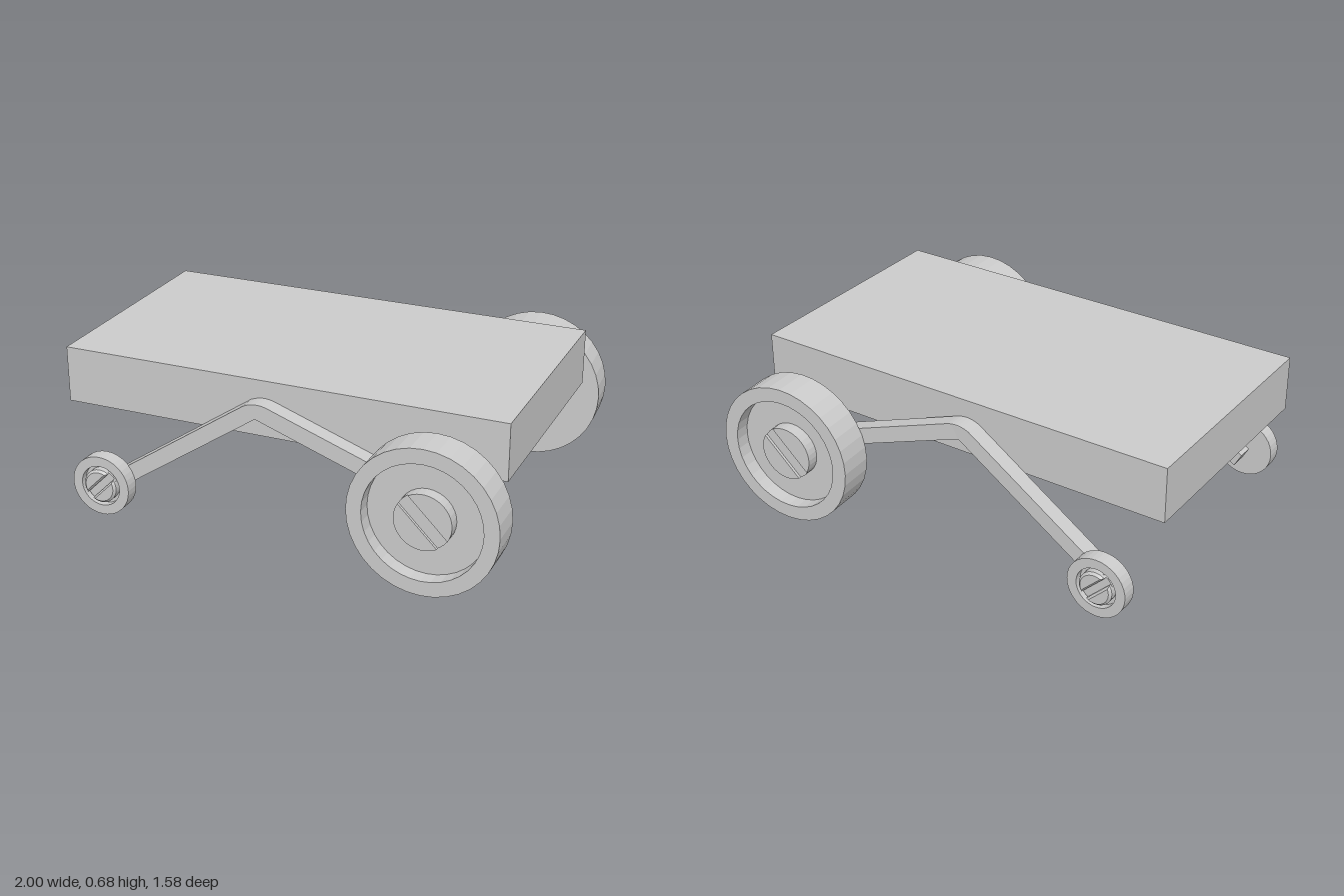
import * as THREE from 'three';

const material = new THREE.MeshStandardMaterial({ color: 0xcccccc, flatShading: true });

function addMesh(parent, geometry, name) {
  const mesh = new THREE.Mesh(geometry, material);
  mesh.name = name;
  parent.add(mesh);
  return mesh;
}

// Dished wheel with a slotted hub; inner face at z = 0, outer face towards +z
function createWheel(name, o) {
  const wheel = new THREE.Group();
  wheel.name = name;

  const profile = [
    [0, 0], [o.radius, 0], [o.radius, o.width], [o.recess, o.width],
    [o.recess, o.floor], [0, o.floor],
  ].map(([r, z]) => new THREE.Vector2(r, z));
  const rim = new THREE.LatheGeometry(profile, 36);
  rim.rotateX(Math.PI / 2);
  addMesh(wheel, rim, 'rim');

  // Hub core forms the bottom of the slot
  const hub = new THREE.Group();
  hub.name = 'hub';
  hub.rotation.z = o.slotAngle;
  wheel.add(hub);
  const coreHeight = o.hubTop - o.slotDepth - o.floor;
  const core = new THREE.CylinderGeometry(o.hub, o.hub, coreHeight, 32);
  core.rotateX(Math.PI / 2).translate(0, 0, o.floor + coreHeight / 2);
  addMesh(hub, core, 'hubCore');

  // Two raised segments on either side of the slot
  const r = o.hub - o.bevel;
  const a = Math.asin((o.slot + o.bevel) / r);
  for (const turn of [0, Math.PI]) {
    const shape = new THREE.Shape();
    shape.absarc(0, 0, r, a, Math.PI - a, false);
    shape.closePath();
    const half = new THREE.ExtrudeGeometry(shape, {
      depth: o.slotDepth - o.bevel, curveSegments: 16,
      bevelEnabled: o.bevel > 0, bevelSize: o.bevel, bevelThickness: o.bevel, bevelSegments: 1,
    });
    half.translate(0, 0, o.hubTop - o.slotDepth).rotateZ(turn);
    addMesh(hub, half, 'hubSegment');
  }
  return wheel;
}

// Bent arm; its rear section can splay sideways from the bend
function createArm(name, z, splay) {
  const shape = new THREE.Shape();
  shape.moveTo(-0.782, 0.078);
  shape.lineTo(-0.09, 0.545);
  shape.lineTo(0.7, 0.267);
  shape.lineTo(0.72, 0.335);
  shape.lineTo(-0.04, 0.603);
  shape.quadraticCurveTo(-0.09, 0.618, -0.14, 0.595);
  shape.lineTo(-0.815, 0.138);
  shape.closePath();
  const geometry = new THREE.ExtrudeGeometry(shape, { depth: 0.073, bevelEnabled: false, curveSegments: 6 });
  geometry.translate(0, 0, z);
  const p = geometry.attributes.position;
  for (let i = 0; i < p.count; i++) {
    p.setZ(i, p.getZ(i) - splay * Math.max(0, p.getX(i) + 0.09));
  }
  geometry.computeVertexNormals();
  const arm = new THREE.Mesh(geometry, material);
  arm.name = name;
  return arm;
}

export function createModel() {
  const model = new THREE.Group();
  model.name = 'cart';

  // Slab body
  const body = addMesh(model, new THREE.BoxGeometry(1.95, 0.245, 1.05), 'body');
  body.position.set(-0.025, 0.5625, 0.03);

  // Suspension arms
  model.add(createArm('frontArm', 0.555, 0));
  model.add(createArm('backArm', -0.57, 0.06));

  const large = {
    radius: 0.314, width: 0.155, recess: 0.25, floor: 0.09,
    hub: 0.12, hubTop: 0.145, slot: 0.03, slotDepth: 0.012, bevel: 0, slotAngle: -Math.PI / 4,
  };
  const small = {
    radius: 0.133, width: 0.066, recess: 0.09, floor: 0.035,
    hub: 0.075, hubTop: 0.078, slot: 0.014, slotDepth: 0.022, bevel: 0.01, slotAngle: Math.PI / 4,
  };

  // Wheels on the near side
  const largeFront = createWheel('largeFrontWheel', large);
  largeFront.position.set(0.685, 0.315, 0.63);
  const smallFront = createWheel('smallFrontWheel', small);
  smallFront.position.set(-0.79, 0.137, 0.625);

  // Wheels on the far side; the large one follows its splayed arm
  const largeBack = createWheel('largeBackWheel', large);
  largeBack.position.set(0.678, 0.315, -0.62);
  largeBack.rotation.y = Math.PI + 0.06;
  const smallBack = createWheel('smallBackWheel', small);
  smallBack.position.set(-0.79, 0.137, -0.575);
  smallBack.rotation.y = Math.PI;

  model.add(largeFront, smallFront, largeBack, smallBack);
  return model;
}
